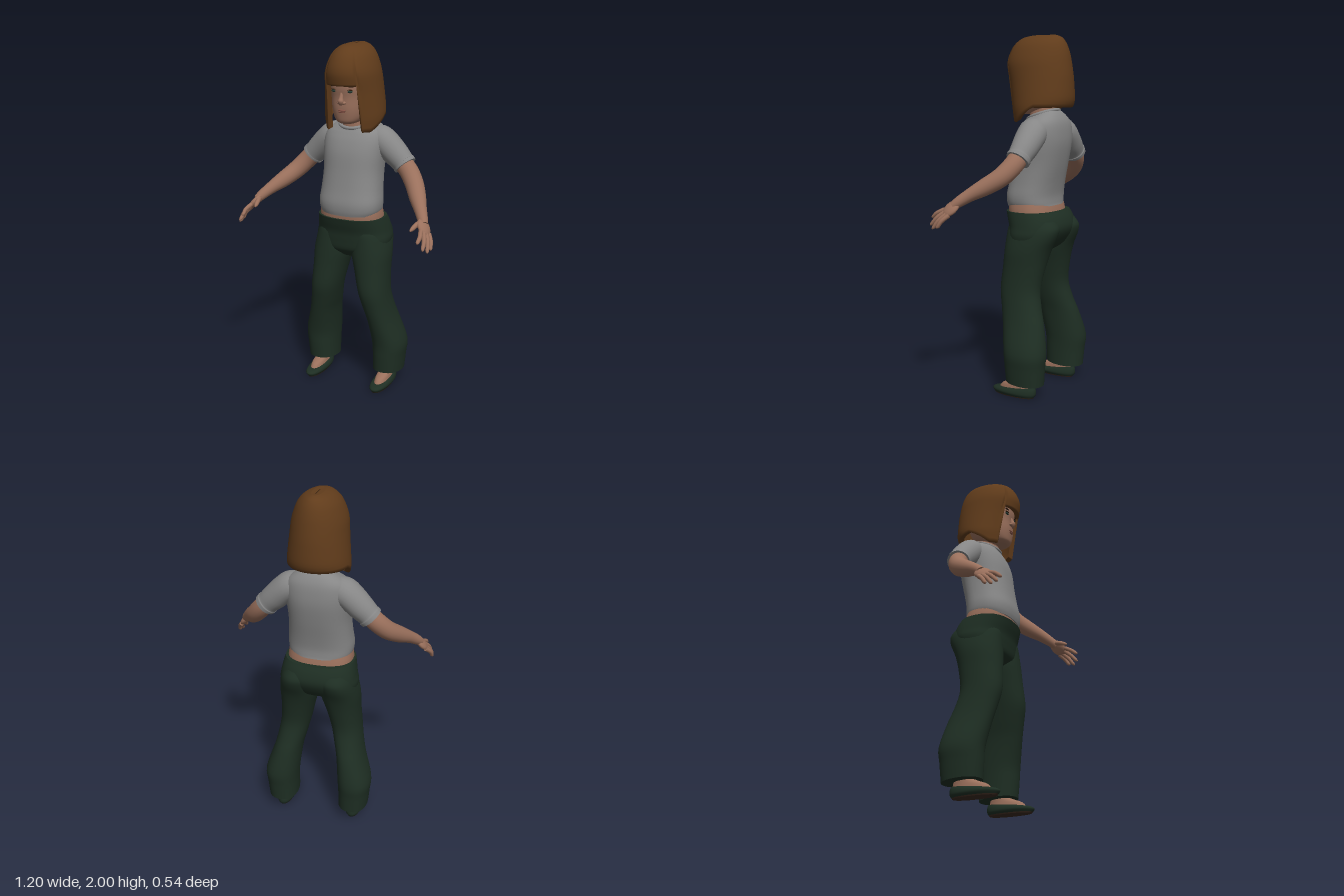
import * as THREE from 'three';

const mat = (name, color, side = THREE.FrontSide) => {
  const m = new THREE.MeshStandardMaterial({ color, side });
  m.name = name;
  return m;
};

// Skin a list of closed loops; capped ends get their own crisp vertices.
function skinLoops(loops, caps = true) {
  const n = loops[0].length, pos = [], idx = [];
  const centre = (l) => {
    const c = l.reduce((s, p) => s.add(p), new THREE.Vector3()).divideScalar(n);
    return l.map(() => c);
  };
  const first = loops[0], last = loops[loops.length - 1];
  const strips = caps ? [[centre(first), first], loops, [last, centre(last)]] : [loops];
  for (const strip of strips) {
    const base = pos.length / 3;
    strip.forEach((l) => l.forEach((p) => pos.push(p.x, p.y, p.z)));
    for (let r = 0; r < strip.length - 1; r++) for (let i = 0; i < n; i++) {
      const j = (i + 1) % n, a = base + r * n, d = a + n;
      idx.push(a + i, a + j, d + j, a + i, d + j, d + i);
    }
  }
  const g = new THREE.BufferGeometry();
  g.setAttribute('position', new THREE.Float32BufferAttribute(pos, 3));
  g.setIndex(idx);
  g.computeVertexNormals();
  return g;
}

// Catmull-Rom blending between rows of numbers.
function refine(rows, k = 4) {
  const out = [], at = (i) => rows[Math.min(Math.max(i, 0), rows.length - 1)];
  for (let i = 0; i < rows.length - 1; i++) for (let s = 0; s < k; s++) {
    const t = s / k;
    out.push(at(i).map((b, c) => {
      const a = at(i - 1)[c], d = at(i + 1)[c], e = at(i + 2)[c];
      return b + 0.5 * t * (d - a + t * (2 * a - 5 * b + 4 * d - e + t * (3 * (b - d) + e - a)));
    }));
  }
  out.push(at(rows.length - 1));
  return out;
}

// Upright form from rows of [y, centreX, halfWidth, zFront, zBack, tilt].
function loft(rows, power = 2.2, n = 40) {
  const bend = (v) => Math.sign(v) * Math.abs(v) ** (2 / power);
  return skinLoops(refine(rows).map(([y, cx, rx, zf, zb, tilt]) =>
    Array.from({ length: n }, (_, i) => {
      const t = i / n * Math.PI * 2, c = bend(Math.cos(t));
      return new THREE.Vector3(cx + rx * bend(Math.sin(t)), y - tilt * c, (zf + zb) / 2 + (zf - zb) / 2 * c);
    })));
}

// Tapered limb through points [x, y, z, radius].
function limb(points, n = 16) {
  const rows = refine(points), curve = new THREE.CatmullRomCurve3(rows.map((p) => new THREE.Vector3(...p)));
  const { normals, binormals } = curve.computeFrenetFrames(rows.length - 1);
  return skinLoops(rows.map(([x, y, z, r], k) => Array.from({ length: n }, (_, i) => {
    const t = i / n * Math.PI * 2;
    return new THREE.Vector3(x, y, z).addScaledVector(normals[k], r * Math.cos(t)).addScaledVector(binormals[k], r * Math.sin(t));
  })));
}

const ellipsoid = (x, y, z, rx, ry, rz) => new THREE.SphereGeometry(1, 20, 12).scale(rx, ry, rz).translate(x, y, z);

function mirrored(geometry) {
  const g = geometry.clone().scale(-1, 1, 1), a = g.index.array;
  for (let i = 0; i < a.length; i += 3) [a[i], a[i + 1]] = [a[i + 1], a[i]];
  return g;
}

// Bob with a straight fringe, long front locks and a turned-in lower edge.
function hairGeometry() {
  const prof = [
    [1.52, 0.158, 0.07, -0.235], [1.6, 0.17, 0.08, -0.25], [1.65, 0.168, 0.088, -0.268], [1.75, 0.158, 0.105, -0.266],
    [1.8, 0.153, 0.118, -0.262], [1.85, 0.147, 0.125, -0.255], [1.9, 0.132, 0.114, -0.246],
    [1.95, 0.108, 0.085, -0.23], [1.985, 0.072, 0.04, -0.207], [2, 0.03, -0.02, -0.175],
  ];
  const fine = refine(prof, 6), n = 80, rows = 30;
  const shape = (y) => {
    let i = 0;
    while (i < fine.length - 2 && fine[i + 1][0] < y) i++;
    const t = (y - fine[i][0]) / (fine[i + 1][0] - fine[i][0]);
    return fine[i].map((v, c) => v + (fine[i + 1][c] - v) * t);
  };
  const edge = (deg) => {
    if (deg < 37) return 1.785;
    if (deg < 60) return 1.53;
    return deg < 100 ? 1.53 + (deg - 60) / 40 * 0.075 : 1.61;
  };
  const loops = [];
  for (let r = -1; r <= rows; r++) loops.push(Array.from({ length: n }, (_, i) => {
    const t = i / n * Math.PI * 2, deg = Math.min(i, n - i) * 360 / n, b = edge(deg);
    const y = r < 0 ? b : b + (2 - b) * Math.sin(r / rows * Math.PI / 2);
    const [, rx, zf, zb] = shape(y), k = r < 0 ? 0.84 : 1;
    return new THREE.Vector3(k * rx * Math.sin(t), y + (r < 0 ? 0.012 : 0), (zf + zb) / 2 + k * (zf - zb) / 2 * Math.cos(t));
  }));
  const top = loops[loops.length - 1];
  loops.push(top.map(() => new THREE.Vector3(0, 1.998, -0.0975)));
  return skinLoops(loops, false);
}

export function createModel() {
  const model = new THREE.Group();
  model.name = 'girl';
  const skin = mat('skin', 0x9a705c), shirt = mat('grey cloth', 0x878787, THREE.DoubleSide);
  const trousers = mat('dark green cloth', 0x1e2e23, THREE.DoubleSide), hair = mat('brown hair', 0x613c1b, THREE.DoubleSide);
  const dark = mat('dark brown', 0x36210f), eye = mat('eye green', 0x2c4038);
  const lip = mat('lip', 0x875447), sole = mat('sole', 0x3b2a20);
  const add = (name, geometry, material) => {
    const m = new THREE.Mesh(geometry, material);
    m.name = name;
    model.add(m);
  };
  const pair = (name, geometry, material) => {
    add(name + 'Left', geometry, material);
    add(name + 'Right', mirrored(geometry), material);
  };

  // Head and neck
  add('head', loft([
    [1.572, 0, 0.04, 0.045, -0.06, 0], [1.585, 0, 0.066, 0.062, -0.1, 0], [1.615, 0, 0.088, 0.07, -0.15, 0],
    [1.66, 0, 0.1, 0.076, -0.18, 0], [1.72, 0, 0.107, 0.077, -0.2, 0], [1.78, 0, 0.11, 0.085, -0.21, 0],
    [1.86, 0, 0.1, 0.075, -0.2, 0], [1.92, 0, 0.06, 0.02, -0.15, 0]], 2.3), skin);
  add('neck', loft([[1.48, 0, 0.085, -0.01, -0.17, 0], [1.56, 0, 0.066, -0.015, -0.155, 0.01], [1.66, 0, 0.06, -0.01, -0.15, 0]]), skin);
  add('nose', limb([[0, 1.755, 0.07, 0.008], [0, 1.72, 0.08, 0.012], [0, 1.697, 0.086, 0.017], [0, 1.682, 0.08, 0.008]]), skin);
  pair('nostril', ellipsoid(0.015, 1.692, 0.077, 0.012, 0.009, 0.014), skin);
  pair('eye', ellipsoid(0.046, 1.754, 0.07, 0.018, 0.008, 0.008), eye);
  pair('eyelash', ellipsoid(0.047, 1.763, 0.072, 0.021, 0.003, 0.008), dark);
  pair('eyebrow', ellipsoid(0.048, 1.782, 0.073, 0.026, 0.004, 0.007), dark);
  add('upperLip', ellipsoid(0, 1.65, 0.073, 0.025, 0.005, 0.009), lip);
  add('lowerLip', ellipsoid(0, 1.641, 0.072, 0.021, 0.006, 0.009), lip);

  // Hair and its parting
  add('hair', hairGeometry(), hair);
  add('parting', limb([[0, 1.984, -0.2, 0.001], [0, 1.997, -0.16, 0.002], [0, 1.998, -0.08, 0.002], [0, 1.99, -0.01, 0.001]], 8), dark);

  // Shirt, sleeves and collar
  add('shirt', loft([
    [1.062, 0, 0.172, 0.09, -0.18, 0.006], [1.085, 0, 0.182, 0.096, -0.178, 0], [1.13, 0, 0.185, 0.096, -0.178, 0],
    [1.2, 0, 0.178, 0.082, -0.19, 0], [1.3, 0, 0.173, 0.066, -0.212, 0], [1.4, 0, 0.18, 0.052, -0.229, 0],
    [1.47, 0, 0.182, 0.03, -0.23, 0], [1.52, 0, 0.168, 0.008, -0.222, 0.008], [1.55, 0, 0.13, -0.003, -0.202, 0.02],
    [1.568, 0, 0.09, -0.006, -0.18, 0.028]], 2.4), shirt);
  const collar = new THREE.TorusGeometry(0.09, 0.01, 10, 40).rotateX(Math.PI / 2 + 0.32).translate(0, 1.568, -0.092);
  add('collar', collar, shirt);
  pair('sleeve', limb([[0.08, 1.485, -0.115, 0.07], [0.165, 1.462, -0.12, 0.083], [0.24, 1.395, -0.122, 0.073],
    [0.282, 1.354, -0.12, 0.065], [0.286, 1.35, -0.12, 0.068], [0.298, 1.337, -0.118, 0.067]], 24), shirt);

  // Arms
  pair('arm', limb([[0.27, 1.365, -0.12, 0.054], [0.325, 1.31, -0.107, 0.054], [0.378, 1.25, -0.067, 0.052],
    [0.43, 1.197, 0.005, 0.046], [0.475, 1.155, 0.07, 0.035], [0.508, 1.12, 0.116, 0.029], [0.525, 1.098, 0.14, 0.024]], 20), skin);

  // Hands: flat palm, four fingers and a thumb
  const along = new THREE.Vector3(0.055, -0.08, 0.07).normalize(), across = new THREE.Vector3(-0.5, 0.5, 0.7);
  const flat = new THREE.Vector3().crossVectors(along, across).normalize();
  across.crossVectors(flat, along);
  const palm = new THREE.SphereGeometry(1, 20, 14).scale(0.056, 0.043, 0.02);
  palm.applyMatrix4(new THREE.Matrix4().makeBasis(along, across, flat)).translate(0.53, 1.086, 0.149);
  pair('palm', palm, skin);
  const tips = [[0.545, 1.03, 0.268], [0.573, 0.993, 0.258], [0.589, 0.977, 0.233], [0.594, 0.984, 0.2]];
  tips.forEach((tip, i) => {
    const end = new THREE.Vector3(...tip);
    const base = new THREE.Vector3(0.545, 1.065, 0.168).addScaledVector(across, 0.03 - 0.02 * i);
    const mid = base.clone().lerp(end, 0.5).add(new THREE.Vector3(0.006, 0.004, 0.002));
    pair('finger' + (i + 1), limb([[...base, 0.013], [...mid, 0.012], [...base.clone().lerp(end, 0.88), 0.01], [...end, 0.003]], 10), skin);
  });
  pair('thumb', limb([[0.512, 1.112, 0.135, 0.015], [0.497, 1.1, 0.175, 0.014], [0.488, 1.085, 0.208, 0.011], [0.484, 1.078, 0.225, 0.003]], 10), skin);

  // Waist and trousers
  add('waist', loft([[0.98, 0, 0.18, 0.07, -0.19, 0], [1.04, 0, 0.186, 0.083, -0.185, 0], [1.12, 0, 0.172, 0.078, -0.165, 0]], 2.4), skin);
  add('trouserHips', loft([
    [0.795, 0, 0.06, 0, -0.11, 0], [0.84, 0, 0.195, 0.052, -0.185, 0], [0.9, 0, 0.224, 0.064, -0.23, 0],
    [0.95, 0, 0.217, 0.07, -0.247, 0], [1, 0, 0.207, 0.086, -0.235, 0], [1.036, 0, 0.198, 0.096, -0.213, 0]], 2.4), trousers);
  pair('trouserLeg', loft([
    [0.088, 0.218, 0.087, 0, -0.222, -0.006], [0.18, 0.222, 0.092, 0.006, -0.23, 0], [0.27, 0.222, 0.097, 0.012, -0.237, 0],
    [0.41, 0.193, 0.083, 0.04, -0.208, 0], [0.5, 0.172, 0.083, 0.06, -0.178, 0], [0.6, 0.153, 0.088, 0.079, -0.157, 0],
    [0.72, 0.135, 0.099, 0.072, -0.175, 0], [0.82, 0.121, 0.112, 0.066, -0.203, 0], [0.9, 0.113, 0.107, 0.06, -0.24, 0],
    [0.95, 0.105, 0.1, 0.055, -0.25, 0], [0.99, 0.1, 0.085, 0.04, -0.225, 0]]), trousers);

  // Feet and slip-on shoes
  pair('foot', loft([[0.03, 0.217, 0.042, 0.06, -0.165, 0], [0.062, 0.217, 0.038, 0.035, -0.163, 0],
    [0.085, 0.217, 0.035, -0.02, -0.158, 0], [0.11, 0.217, 0.034, -0.05, -0.15, 0], [0.22, 0.217, 0.036, -0.06, -0.15, 0]]), skin);
  pair('shoe', loft([[0.006, 0.217, 0.045, 0.093, -0.168, 0], [0.022, 0.217, 0.054, 0.102, -0.177, 0],
    [0.04, 0.217, 0.051, 0.088, -0.178, 0.006], [0.052, 0.217, 0.042, 0.055, -0.172, 0.012]]), trousers);
  pair('sole', loft([[0, 0.217, 0.042, 0.088, -0.163, 0], [0.008, 0.217, 0.046, 0.094, -0.169, 0]]), sole);
  return model;
}
